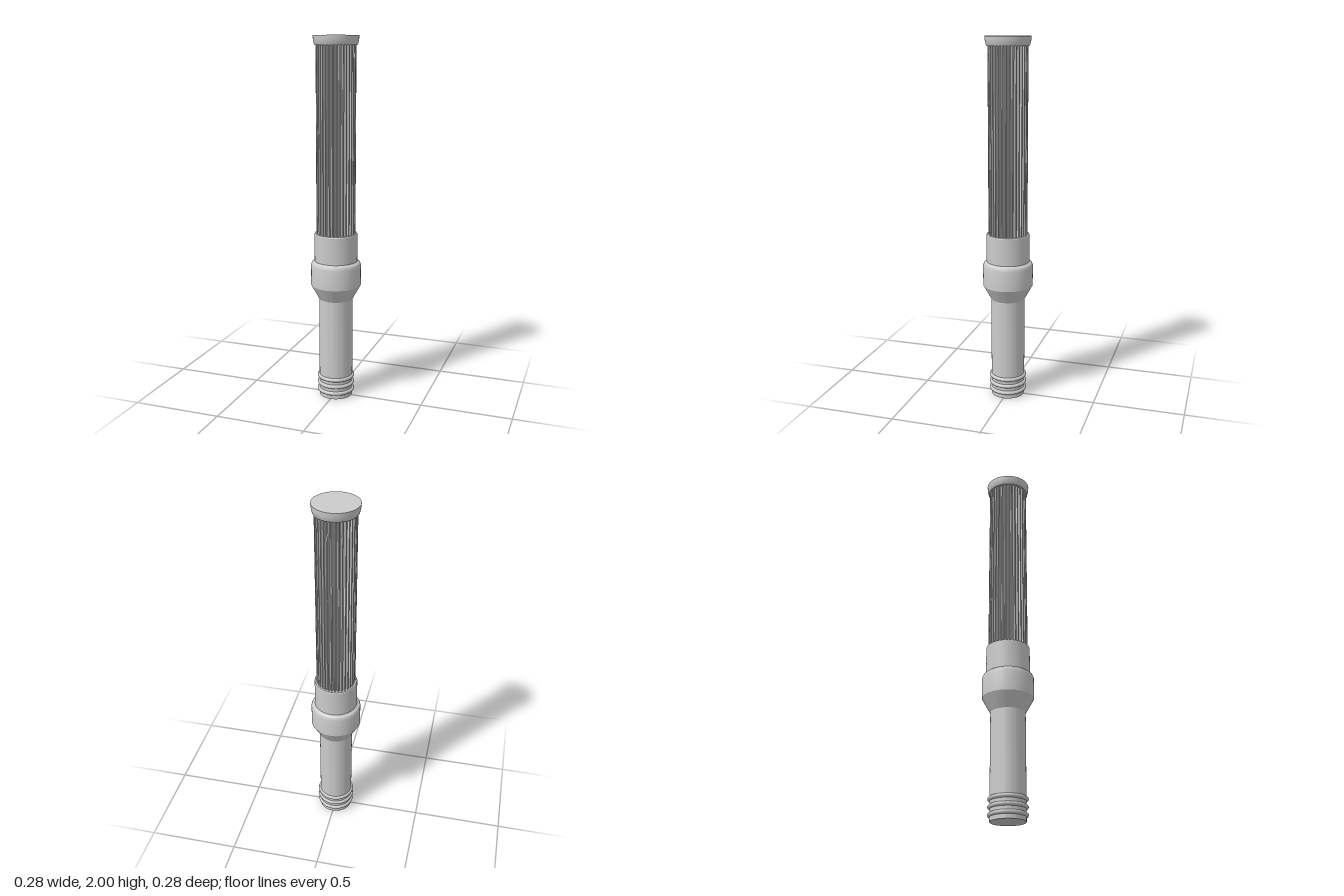
import * as THREE from 'three';
import { toCreasedNormals } from 'three/addons/utils/BufferGeometryUtils.js';

const SEGMENTS = 64;
const grey = new THREE.MeshStandardMaterial({ color: 0xcccccc });
const pleatGrey = new THREE.MeshStandardMaterial({ color: 0xcccccc, flatShading: true });

// Turned part from [radius, height] points, bottom to top
function turned(name, points) {
  const profile = points.map(([r, y]) => new THREE.Vector2(r, y));
  const geometry = toCreasedNormals(new THREE.LatheGeometry(profile, SEGMENTS), 0.4);
  const mesh = new THREE.Mesh(geometry, grey);
  mesh.name = name;
  return mesh;
}

// Pleated sleeve: a star-shaped section extruded upwards
function pleatedSleeve(y0, y1, outer, inner, count) {
  const points = [];
  for (let i = 0; i < count; i++) {
    const step = (Math.PI * 2) / count;
    for (const [offset, r] of [[-0.14, outer], [0.14, outer], [0.38, inner], [0.62, inner]]) {
      const a = (i + offset) * step;
      points.push(new THREE.Vector2(Math.cos(a) * r, Math.sin(a) * r));
    }
  }
  const geometry = new THREE.ExtrudeGeometry(new THREE.Shape(points), { depth: y1 - y0, bevelEnabled: false });
  geometry.rotateX(-Math.PI / 2).translate(0, y0, 0);
  const mesh = new THREE.Mesh(geometry, pleatGrey);
  mesh.name = 'pleatedSleeve';
  return mesh;
}

export function createModel() {
  const model = new THREE.Group();
  model.name = 'pleatedCartridge';

  // Stem, flared shoulder and collar in one turned body
  model.add(turned('body', [
    [0, 0], [0.093, 0], [0.093, 0.57], [0.101, 0.583], [0.138, 0.65],
    [0.138, 0.765], [0.133, 0.777], [0.118, 0.788], [0.118, 0.938], [0.115, 0.943], [0, 0.943],
  ]));

  model.add(pleatedSleeve(0.93, 1.96, 0.107, 0.096, 36));

  // End cap with a slightly drawn-in lower rim
  model.add(turned('endCap', [
    [0, 1.95], [0.113, 1.95], [0.116, 1.956], [0.121, 1.98], [0.122, 2], [0, 2],
  ]));

  // Sealing rings around the foot
  for (const y of [0.034, 0.074, 0.114]) {
    const ring = new THREE.Mesh(new THREE.TorusGeometry(0.093, 0.011, 12, SEGMENTS), grey);
    ring.rotation.x = Math.PI / 2;
    ring.position.y = y;
    ring.name = 'sealingRing';
    model.add(ring);
  }
  return model;
}
